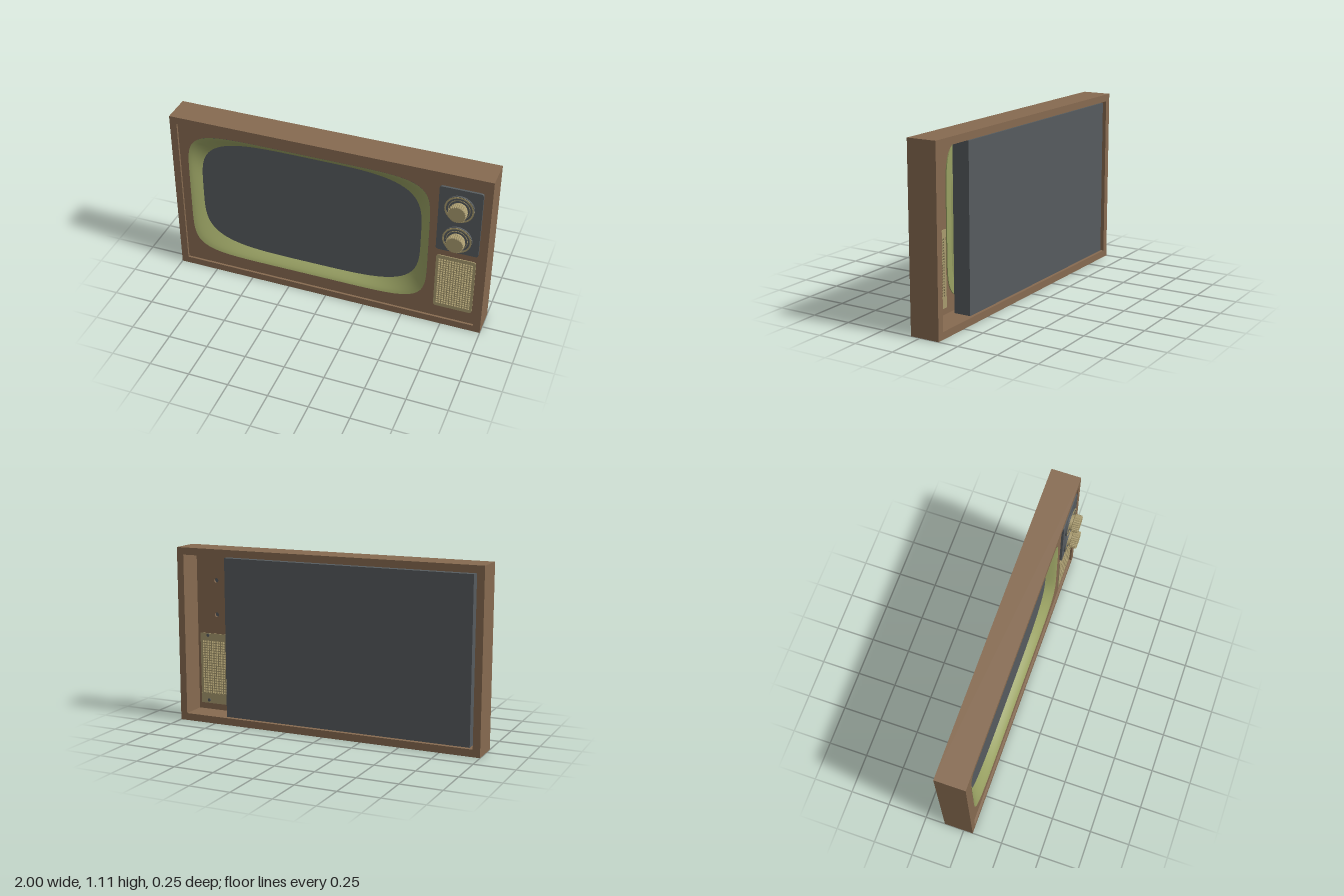
import * as THREE from 'three';

const wood = new THREE.MeshStandardMaterial({ name: 'brown wood', color: 0x866a50 });
const slate = new THREE.MeshStandardMaterial({ name: 'slate grey', color: 0x565b5e });
const green = new THREE.MeshStandardMaterial({ name: 'olive green', color: 0x98a062, side: THREE.DoubleSide });
const tan = new THREE.MeshStandardMaterial({ name: 'tan', color: 0xa89a6e });

// Rectangle with rounded corners, given by its edges
function roundRect(x0, y0, x1, y1, r, Type = THREE.Shape) {
  const s = new Type();
  s.moveTo(x0 + r, y0);
  s.lineTo(x1 - r, y0);
  s.absarc(x1 - r, y0 + r, r, -Math.PI / 2, 0);
  s.lineTo(x1, y1 - r);
  s.absarc(x1 - r, y1 - r, r, 0, Math.PI / 2);
  s.lineTo(x0 + r, y1);
  s.absarc(x0 + r, y1 - r, r, Math.PI / 2, Math.PI);
  s.lineTo(x0, y0 + r);
  s.absarc(x0 + r, y0 + r, r, Math.PI, Math.PI * 1.5);
  return s;
}

function rect(x0, y0, x1, y1, Type = THREE.Shape) {
  return new Type([[x0, y0], [x1, y0], [x1, y1], [x0, y1]].map(p => new THREE.Vector2(...p)));
}

function circle(x, y, r, Type = THREE.Shape) {
  return new Type().absarc(x, y, r, 0, Math.PI * 2);
}

// Superellipse around the screen centre
const CX = -0.13, CY = 0.575;
function screenLoop(a, b, n, count = 144) {
  return Array.from({ length: count }, (_, i) => {
    const t = (i / count) * Math.PI * 2, c = Math.cos(t), s = Math.sin(t);
    const r = (Math.abs(c) ** n + Math.abs(s) ** n) ** (-1 / n);
    return new THREE.Vector2(CX + a * r * c, CY + b * r * s);
  });
}

function slab(shape, z0, z1, material, name) {
  const geo = new THREE.ExtrudeGeometry(shape, { depth: z1 - z0, bevelEnabled: false, curveSegments: 12 });
  geo.translate(0, 0, z0);
  const mesh = new THREE.Mesh(geo, material);
  mesh.name = name;
  return mesh;
}

function disc(r, z0, z1, material, name) {
  const geo = new THREE.CylinderGeometry(r, r, z1 - z0, 48).rotateX(Math.PI / 2);
  const mesh = new THREE.Mesh(geo, material);
  mesh.position.z = (z0 + z1) / 2;
  mesh.name = name;
  return mesh;
}

// Concave surround lofted from the panel opening back to the screen
function makeBezel() {
  const rings = 7, count = 144, pos = [], idx = [];
  for (let j = 0; j < rings; j++) {
    const t = j / (rings - 1);
    const loop = screenLoop(0.772 - 0.062 * t, 0.446 - 0.052 * t, 6.5 - 2.5 * t, count);
    const z = 0.047 - 0.053 * t ** 1.4;
    loop.forEach(p => pos.push(p.x, p.y, z));
  }
  for (let j = 0; j < rings - 1; j++) {
    for (let i = 0; i < count; i++) {
      const k = (i + 1) % count, a = j * count + i, b = j * count + k;
      idx.push(a, b, a + count, b, b + count, a + count);
    }
  }
  const geo = new THREE.BufferGeometry();
  geo.setAttribute('position', new THREE.Float32BufferAttribute(pos, 3));
  geo.setIndex(idx);
  geo.computeVertexNormals();
  const mesh = new THREE.Mesh(geo, green);
  mesh.name = 'screenBezel';
  return mesh;
}

// Fluted knob on a dial
function makeKnob(y) {
  const knob = new THREE.Group();
  knob.name = 'controlKnob';
  knob.position.set(0.815, y, 0);
  knob.add(disc(0.09, 0.06, 0.07, slate, 'dial'));
  for (const [outer, inner] of [[0.088, 0.078], [0.066, 0.062]]) {
    const ring = circle(0, 0, outer);
    ring.holes.push(circle(0, 0, inner, THREE.Path));
    knob.add(slab(ring, 0.069, 0.072, tan, 'dialRing'));
  }
  knob.add(disc(0.048, 0.07, 0.086, tan, 'knobBase'));
  const flutes = 24, pts = [];
  for (let i = 0; i < flutes * 4; i++) {
    const a = (i / (flutes * 4)) * Math.PI * 2, r = i % 4 < 2 ? 0.052 : 0.048;
    pts.push(new THREE.Vector2(r * Math.cos(a), r * Math.sin(a)));
  }
  const grip = new THREE.ExtrudeGeometry(new THREE.Shape(pts),
    { depth: 0.036, bevelSize: 0.003, bevelThickness: 0.003, bevelSegments: 1 });
  grip.translate(0, 0, 0.086);
  const mesh = new THREE.Mesh(grip, tan);
  mesh.name = 'knobGrip';
  knob.add(mesh);
  return knob;
}

// Speaker grille with a grid of square holes and mounting tabs behind
function makeGrille() {
  const group = new THREE.Group();
  group.name = 'speakerGrille';
  const plate = roundRect(0.695, 0.13, 0.937, 0.52, 0.018);
  const cols = 13, rows = 21, pitch = 0.0165, half = 0.0055;
  for (let i = 0; i < cols; i++) {
    for (let j = 0; j < rows; j++) {
      const x = 0.816 + (i - (cols - 1) / 2) * pitch, y = 0.325 + (j - (rows - 1) / 2) * pitch;
      plate.holes.push(rect(x - half, y - half, x + half, y + half, THREE.Path));
    }
  }
  group.add(slab(plate, 0.03, 0.052, tan, 'grillePlate'));
  for (const [y0, y1] of [[0.085, 0.15], [0.5, 0.545]]) {
    group.add(slab(rect(0.695, y0, 0.937, y1), 0.028, 0.034, tan, 'grilleTab'));
  }
  for (const y of [0.105, 0.532]) {
    const screw = disc(0.01, 0.024, 0.03, slate, 'grilleScrew');
    screw.position.x = 0.88;
    screw.position.y = y;
    group.add(screw);
  }
  return group;
}

export function createModel() {
  const model = new THREE.Group();
  model.name = 'televisionFront';

  // Open cabinet frame
  const frame = rect(-1, 0, 1, 1.11);
  frame.holes.push(rect(-0.955, 0.045, 0.955, 1.065, THREE.Path));
  model.add(slab(frame, -0.125, 0.06, wood, 'cabinetFrame'));

  // Recessed front panel with openings
  const panel = rect(-0.955, 0.045, 0.955, 1.065);
  panel.holes.push(
    new THREE.Path(screenLoop(0.772, 0.446, 6.5)),
    roundRect(0.695, 0.13, 0.937, 0.52, 0.018, THREE.Path),
    circle(0.815, 0.89, 0.015, THREE.Path),
    circle(0.815, 0.67, 0.015, THREE.Path)
  );
  model.add(slab(panel, 0.034, 0.046, wood, 'frontPanel'));

  // Bezel and its flange behind the panel
  model.add(makeBezel());
  const flange = new THREE.Shape(screenLoop(0.815, 0.486, 7));
  flange.holes.push(new THREE.Path(screenLoop(0.772, 0.446, 6.5)));
  model.add(slab(flange, 0.027, 0.034, green, 'bezelFlange'));

  // Flat display behind the bezel
  model.add(slab(rect(-0.933, 0.05, 0.67, 1.057), -0.113, -0.006, slate, 'display'));

  // Controls
  model.add(slab(roundRect(0.69, 0.57, 0.947, 1.017, 0.015), 0.046, 0.06, slate, 'controlPlate'));
  model.add(makeKnob(0.888), makeKnob(0.67));
  model.add(makeGrille());
  return model;
}
